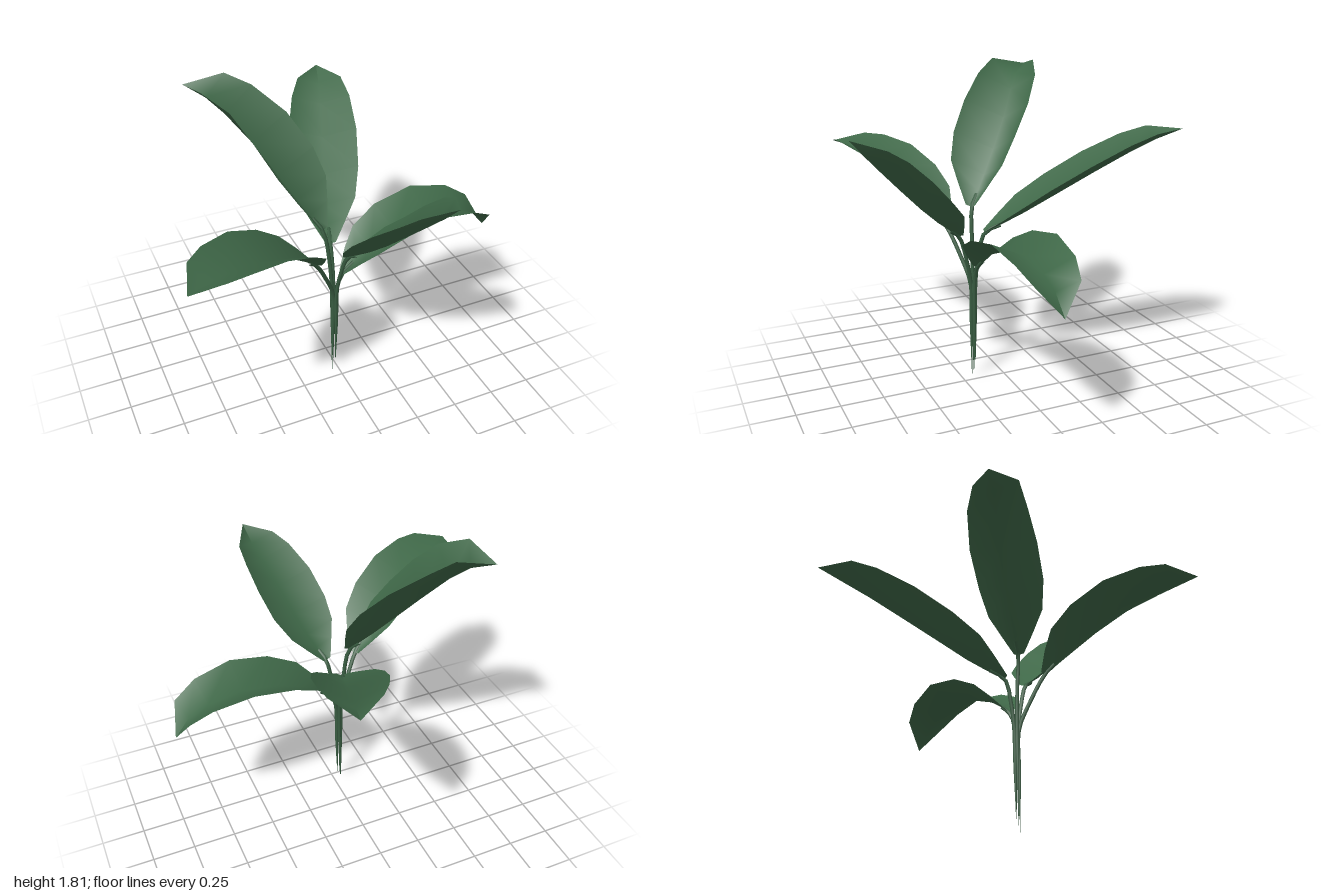
import * as THREE from 'three';

const UP = new THREE.Vector3(0, 1, 0);

// Leaf outline shared by all blades: [fraction along the midrib, fraction of half width]
const OUTLINE = [[0, 0.15], [0.1, 0.5], [0.2, 0.82], [0.36, 0.98], [0.56, 1], [0.75, 0.87], [0.87, 0.66], [1, 0]];

// Midrib curve from base to tip, half width, fold (rim height per half width), foot height of the stalk
const LEAVES = [
  { name: 'leftLeaf', width: 0.19, fold: 0.47, foot: 0.06,
    rib: [[0.03, 0.72, 0.175], [0.2, 0.845, 0.17], [0.57, 0.955, 0.14], [0.89, 0.88, 0.13], [0.99, 0.765, 0.12]] },
  { name: 'backLeaf', width: 0.2, fold: 0.45, foot: 0.08,
    rib: [[-0.02, 0.9, 0.11], [0.05, 1.015, -0.11], [0.175, 1.225, -0.445], [0.295, 1.415, -0.77], [0.35, 1.485, -0.945]] },
  { name: 'frontLeaf', width: 0.2, fold: 0.45, foot: 0.1,
    rib: [[0.01, 0.91, 0.28], [0.085, 1.055, 0.46], [0.16, 1.265, 0.67], [0.25, 1.49, 0.88], [0.265, 1.555, 0.935]] },
  { name: 'rightFrontLeaf', width: 0.197, fold: 0.45, foot: 0,
    rib: [[-0.18, 0.91, 0.28], [-0.31, 1.035, 0.35], [-0.59, 1.215, 0.5], [-0.88, 1.29, 0.655], [-1, 1.305, 0.73]] },
  { name: 'rightBackLeaf', width: 0.2, fold: 0.8, foot: 0.04,
    rib: [[-0.09, 1.04, 0.16], [-0.2, 1.215, 0.03], [-0.38, 1.515, -0.175], [-0.54, 1.71, -0.31], [-0.645, 1.77, -0.42]] },
];

// V-folded blade: three points per cross-section (rim, midrib, rim)
function bladeGeometry(curve, width, fold) {
  const pos = [], index = [];
  OUTLINE.forEach(([u, k], i) => {
    const p = curve.getPointAt(u), t = curve.getTangentAt(u);
    const side = t.clone().cross(UP).normalize();
    const normal = side.clone().cross(t);
    for (const s of [-1, 0, 1]) {
      const v = p.clone().addScaledVector(side, s * k * width).addScaledVector(normal, Math.abs(s) * k * width * fold);
      pos.push(v.x, v.y, v.z);
    }
    if (i === OUTLINE.length - 1) return;
    for (const a of [i * 3, i * 3 + 1]) index.push(a, a + 1, a + 3, a + 1, a + 4, a + 3);
  });
  const g = new THREE.BufferGeometry();
  g.setAttribute('position', new THREE.Float32BufferAttribute(pos, 3));
  g.setIndex(index);
  g.computeVertexNormals();
  return g;
}

// Thin tube that tapers to a point at its foot
function stalkGeometry(points, radius) {
  const rings = 16, sides = 5;
  const path = new THREE.CatmullRomCurve3(points);
  const g = new THREE.TubeGeometry(path, rings, radius, sides);
  const pos = g.attributes.position, v = new THREE.Vector3();
  for (let i = 0; i <= rings; i++) {
    const c = path.getPointAt(i / rings);
    const k = Math.min(1, 0.04 + (i / rings) * 2.2);
    for (let j = 0; j <= sides; j++) {
      const n = i * (sides + 1) + j;
      v.fromBufferAttribute(pos, n).sub(c).multiplyScalar(k).add(c);
      pos.setXYZ(n, v.x, v.y, v.z);
    }
  }
  return g;
}

export function createModel() {
  const plant = new THREE.Group();
  plant.name = 'leafyPlant';
  const leafMat = new THREE.MeshStandardMaterial({ color: 0x3f6848, side: THREE.DoubleSide });
  const stalkMat = new THREE.MeshStandardMaterial({ color: 0x3a5f43 });
  const heart = new THREE.Vector3(-0.027, 0, 0.185);

  for (const { name, width, fold, foot, rib } of LEAVES) {
    const leaf = new THREE.Group();
    leaf.name = name;

    const curve = new THREE.CatmullRomCurve3(rib.map((p) => new THREE.Vector3(...p)));
    const blade = new THREE.Mesh(bladeGeometry(curve, width, fold), leafMat);
    blade.name = 'blade';

    // Stalk rises in the central bundle, then bends out to the blade
    const base = curve.getPointAt(0);
    const out = base.clone().sub(heart).setY(0).normalize();
    const at = (y, r) => heart.clone().addScaledVector(out, r).setY(y);
    const elbow = at(0.6, 0.016).lerp(base, 0.5).addScaledVector(out, -0.012);
    const stalk = new THREE.Mesh(
      stalkGeometry([at(foot, 0.012), at(0.35, 0.014), at(0.6, 0.016), elbow, base, curve.getPointAt(0.08)], 0.012), stalkMat);
    stalk.name = 'stalk';

    leaf.add(blade, stalk);
    plant.add(leaf);
  }
  return plant;
}
